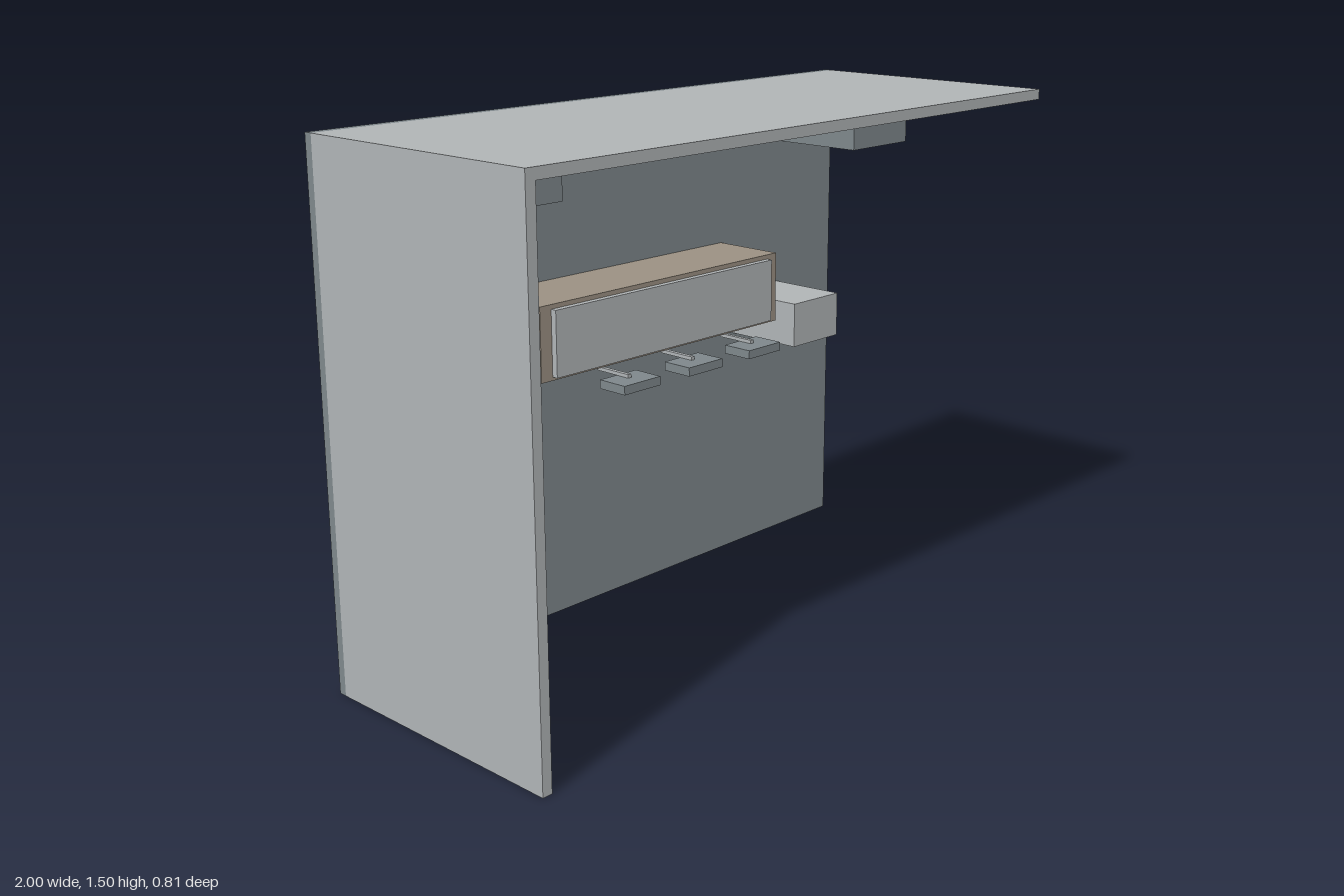
import * as THREE from 'three';

const material = (name, color) => {
  const m = new THREE.MeshStandardMaterial({ color });
  m.name = name;
  return m;
};

export function createModel() {
  const slate = material('slate grey', 0x7e878b);
  const pale = material('pale grey', 0xb0b4b6);
  const wood = material('muted wood', 0x9b9082);

  const model = new THREE.Group();
  model.name = 'roomCorner';

  // Box given by its limits along each axis
  const box = (name, mat, [x0, x1], [y0, y1], [z0, z1], parent = model) => {
    const mesh = new THREE.Mesh(new THREE.BoxGeometry(x1 - x0, y1 - y0, z1 - z0), mat);
    mesh.position.set((x0 + x1) / 2, (y0 + y1) / 2, (z0 + z1) / 2);
    mesh.name = name;
    parent.add(mesh);
    return mesh;
  };

  const wallFace = -0.38;

  // Room shell: back wall, one side wall and the ceiling
  box('backWall', slate, [-1, 1], [0, 1.5], [-0.405, wallFace]);
  box('sideWall', pale, [-1, -0.97], [0, 1.47], [wallFace, 0.405]);
  box('ceiling', pale, [-1, 1], [1.47, 1.5], [wallFace, 0.405]);

  // Boxes under the ceiling, one near each end
  for (const x of [-0.703, 0.698]) {
    box('ceilingBox', slate, [x - 0.126, x + 0.126], [1.33, 1.45], [wallFace, 0.055]);
  }

  // Thin panel hung just below the ceiling
  box('ceilingPanel', pale, [-0.63, -0.13], [1.453, 1.463], [-0.08, 0.17]);

  // Wall cabinet with its front panel
  box('cabinet', wood, [-0.477, 0.473], [0.8, 1.01], [wallFace, -0.155]);
  box('cabinetFront', pale, [-0.437, 0.433], [0.81, 0.997], [-0.155, -0.137]);

  // Small box on the wall beside the cabinet
  box('wallBox', pale, [0.53, 0.737], [0.71, 0.845], [wallFace, -0.127]);

  // Three pads, each on a thin arm from the cabinet's underside
  for (const x of [-0.252, -0.002, 0.248]) {
    const unit = new THREE.Group();
    unit.name = 'padUnit';
    model.add(unit);
    box('pad', slate, [x - 0.068, x + 0.068], [0.765, 0.79], [-0.095, 0], unit);
    box('padArm', pale, [x - 0.006, x + 0.006], [0.79, 0.8], [-0.17, -0.05], unit);
  }

  return model;
}
